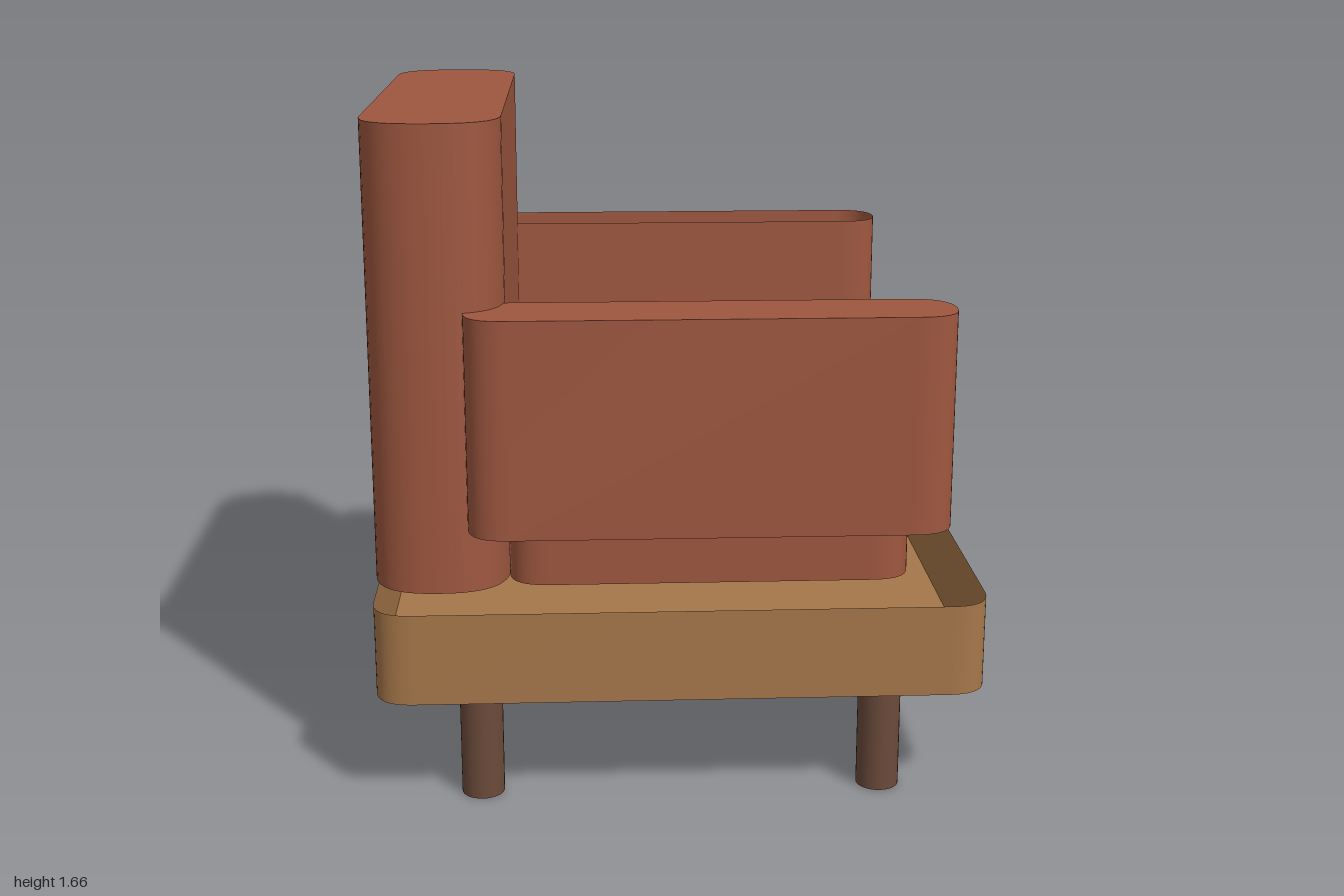
import * as THREE from 'three';

// rounded rectangle centred on the origin
function roundedRect(halfX, halfZ, r) {
  const s = new THREE.Shape();
  s.moveTo(-halfX + r, -halfZ);
  s.lineTo(halfX - r, -halfZ);
  s.quadraticCurveTo(halfX, -halfZ, halfX, -halfZ + r);
  s.lineTo(halfX, halfZ - r);
  s.quadraticCurveTo(halfX, halfZ, halfX - r, halfZ);
  s.lineTo(-halfX + r, halfZ);
  s.quadraticCurveTo(-halfX, halfZ, -halfX, halfZ - r);
  s.lineTo(-halfX, -halfZ + r);
  s.quadraticCurveTo(-halfX, -halfZ, -halfX + r, -halfZ);
  return s;
}

// smooth upright band that follows the outline of a shape
function wallGeometry(shape, y0, y1) {
  const pts = shape.getPoints(12).filter((p, i, all) => i === 0 || p.distanceTo(all[i - 1]) > 1e-4);
  if (pts[0].distanceTo(pts[pts.length - 1]) < 1e-4) pts.pop();
  const pos = [], index = [], n = pts.length;
  pts.forEach((p, i) => {
    pos.push(p.x, y0, -p.y, p.x, y1, -p.y);
    const a = 2 * i, b = 2 * ((i + 1) % n);
    index.push(a, b, b + 1, a, b + 1, a + 1);
  });
  const g = new THREE.BufferGeometry();
  g.setAttribute('position', new THREE.Float32BufferAttribute(pos, 3));
  g.setIndex(index);
  g.computeVertexNormals();
  return g;
}

// shell: a wall with an optional 'top' or 'bottom' panel
function shell(name, material, { halfX, halfZ, r, y0, y1, x = 0, z = 0, cap }) {
  const part = new THREE.Group();
  part.name = name;
  const shape = roundedRect(halfX, halfZ, r);
  const wall = new THREE.Mesh(wallGeometry(shape, y0, y1), material);
  wall.name = name + 'Wall';
  part.add(wall);
  if (cap) {
    const g = new THREE.ShapeGeometry(shape, 12);
    g.rotateX(cap === 'top' ? -Math.PI / 2 : Math.PI / 2);
    g.translate(0, cap === 'top' ? y1 : y0, 0);
    const panel = new THREE.Mesh(g, material);
    panel.name = name + 'Panel';
    part.add(panel);
  }
  part.position.set(x, 0, z);
  return part;
}

export function createModel() {
  const paint = (name, color) => {
    const m = new THREE.MeshStandardMaterial({ color, side: THREE.DoubleSide });
    m.name = name;
    return m;
  };
  const upholstery = paint('rust upholstery', 0x9e573f);
  const wood = paint('light wood', 0xa6774a);
  const darkWood = paint('dark wood', 0x6b4a3a);

  // the chair is built facing +x, then turned
  const chair = new THREE.Group();
  chair.name = 'armchair';
  chair.rotation.y = -THREE.MathUtils.degToRad(27.5);

  // open tray base
  chair.add(shell('base', wood, { halfX: 0.75, halfZ: 0.77, r: 0.1, y0: 0.275, y1: 0.505, cap: 'bottom' }));

  // seat band, open above and below
  chair.add(shell('seat', upholstery, { halfX: 0.505, halfZ: 0.575, r: 0.1, y0: 0.505, y1: 0.81, x: 0.08 }));

  // backrest
  chair.add(shell('backrest', upholstery,
    { halfX: 0.167, halfZ: 0.69, r: 0.16, y0: 0.53, y1: 1.665, x: -0.587, cap: 'top' }));

  // armrests, one closed above and one closed below
  for (const [name, side, cap] of [['rightArmrest', 1, 'top'], ['leftArmrest', -1, 'bottom']]) {
    chair.add(shell(name, upholstery,
      { halfX: 0.585, halfZ: 0.104, r: 0.103, y0: 0.69, y1: 1.222, x: 0.069, z: side * 0.67, cap }));
  }

  // legs, poking slightly through the base floor
  const legGeometry = new THREE.CylinderGeometry(0.053, 0.053, 0.292, 32);
  for (const sx of [-1, 1]) {
    for (const sz of [-1, 1]) {
      const leg = new THREE.Mesh(legGeometry, darkWood);
      leg.name = sx > 0 ? 'frontLeg' : 'backLeg';
      leg.position.set(sx * 0.495, 0.146, sz * 0.668);
      chair.add(leg);
    }
  }

  const model = new THREE.Group();
  model.name = 'model';
  model.add(chair);
  return model;
}
